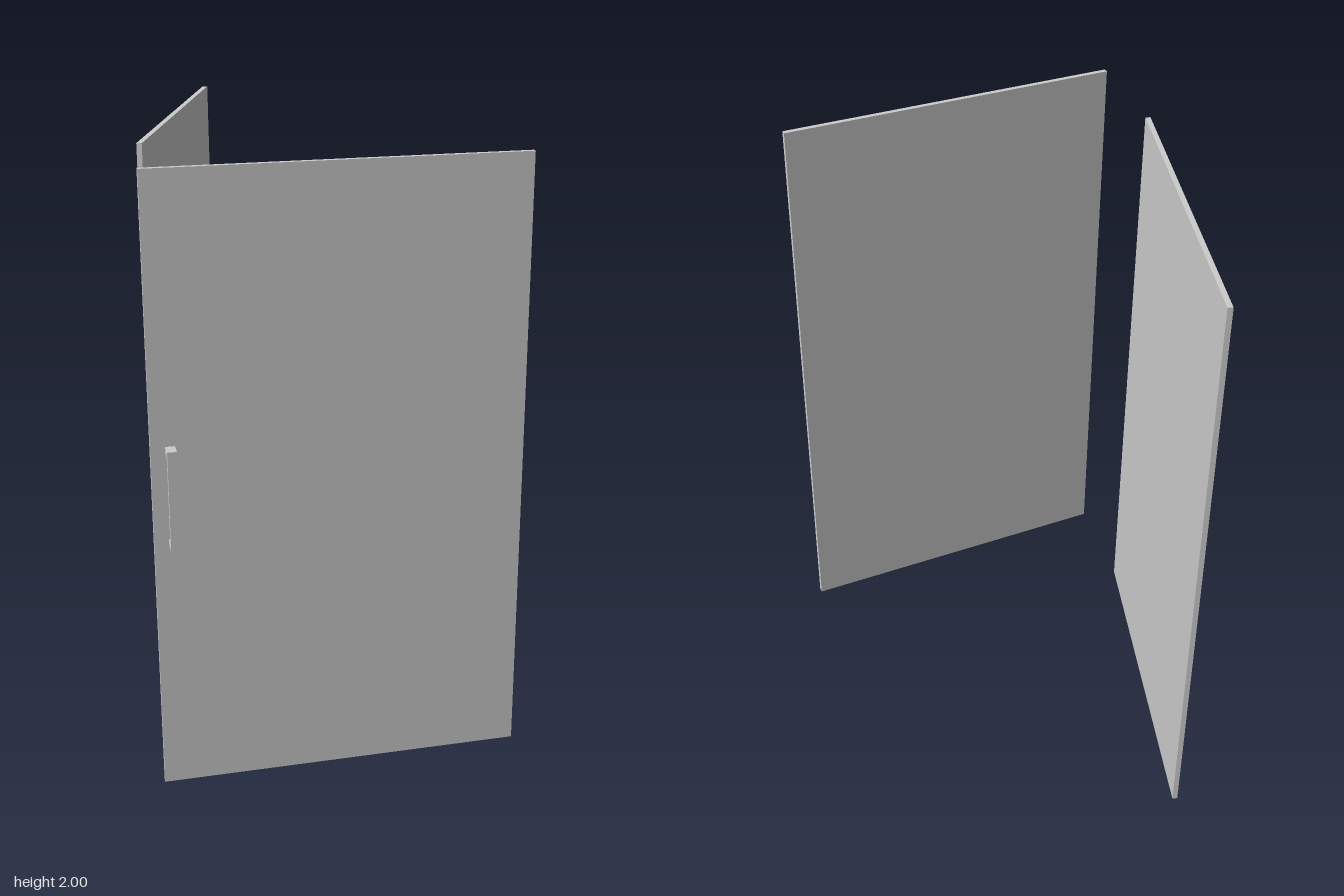
import * as THREE from 'three';

const material = new THREE.MeshStandardMaterial({ color: 0xcccccc, flatShading: true });

const HEIGHT = 2, WIDTH = 1.18, THICK = 0.017;

function panel(name) {
  const mesh = new THREE.Mesh(new THREE.BoxGeometry(WIDTH, HEIGHT, THICK), material);
  mesh.name = name;
  return mesh;
}

// C-shaped pull handle: side profile (depth, height) extruded across its width
function pullHandle(depth, height, width) {
  const bar = 0.016, post = 0.022, fillet = 0.006, h = height / 2;
  const shape = new THREE.Shape();
  shape.moveTo(0, -h);
  shape.lineTo(depth, -h);
  shape.lineTo(depth, h);
  shape.lineTo(0, h);
  shape.lineTo(0, h - post);
  shape.lineTo(depth - bar - fillet, h - post);
  shape.lineTo(depth - bar, h - post - fillet);
  shape.lineTo(depth - bar, -h + post + fillet);
  shape.lineTo(depth - bar - fillet, -h + post);
  shape.lineTo(0, -h + post);
  shape.closePath();
  const geo = new THREE.ExtrudeGeometry(shape, { depth: width, bevelEnabled: false });
  geo.translate(0, 0, -width / 2);
  geo.rotateY(-Math.PI / 2); // depth now points to +z
  const mesh = new THREE.Mesh(geo, material);
  mesh.name = 'pullHandle';
  return mesh;
}

export function createModel() {
  const model = new THREE.Group();
  model.name = 'showerScreen';

  // Fixed side panel
  const side = panel('fixedPanel');
  side.rotation.y = Math.PI / 2;
  side.position.set(-0.596, HEIGHT / 2, -0.212);
  model.add(side);

  // Door swung open about its hinge edge
  const door = new THREE.Group();
  door.name = 'door';
  door.position.set(0.599, 0, 0.39);
  door.rotation.y = THREE.MathUtils.degToRad(18.4);
  const leaf = panel('doorPanel');
  leaf.position.set(-WIDTH / 2, HEIGHT / 2, 0);
  const handle = pullHandle(0.049, 0.325, 0.03);
  handle.position.set(-1.12, 0.998, THICK / 2);
  door.add(leaf, handle);
  model.add(door);

  return model;
}
